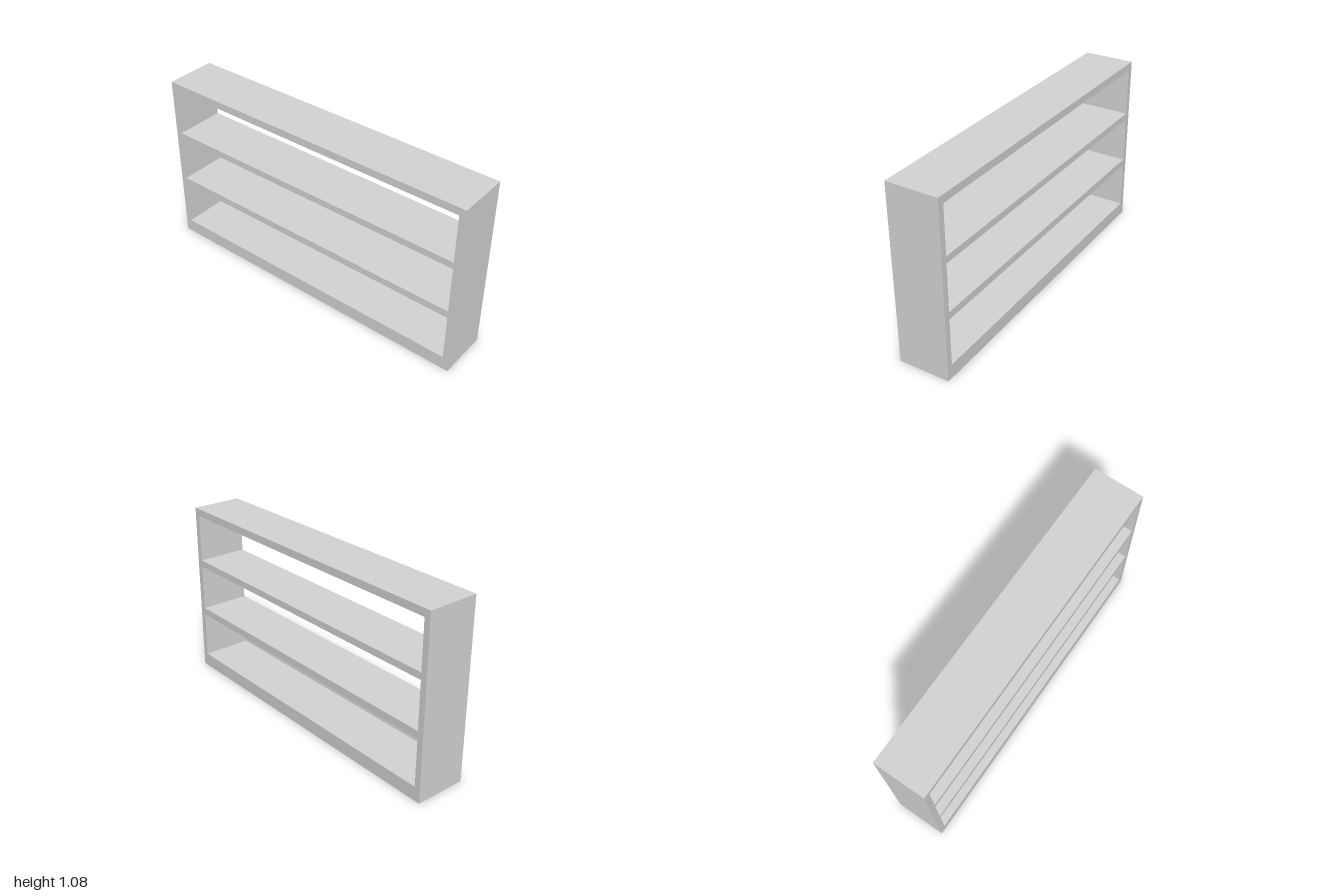
import * as THREE from 'three';

const WIDTH = 2, HEIGHT = 1.077, DEPTH = 0.31;
const INNER = 0.963; // half width between the side panels
// bottom and top of each open bay
const BAYS = [[0.084, 0.371], [0.415, 0.701], [0.742, 1.032]];

// Traces a rectangle centred on x = 0
function rectangle(path, halfWidth, bottom, top) {
  path.moveTo(-halfWidth, bottom);
  path.lineTo(halfWidth, bottom);
  path.lineTo(halfWidth, top);
  path.lineTo(-halfWidth, top);
  path.closePath();
  return path;
}

export function createModel() {
  const group = new THREE.Group();
  group.name = 'shelfUnit';

  const lightGrey = new THREE.MeshStandardMaterial({ color: 0xd4d4d4 });
  lightGrey.name = 'lightGrey';

  // Outer frame and shelves in one piece, with the bays cut through
  const outline = rectangle(new THREE.Shape(), WIDTH / 2, 0, HEIGHT);
  for (const [bottom, top] of BAYS) {
    outline.holes.push(rectangle(new THREE.Path(), INNER, bottom, top));
  }
  const geometry = new THREE.ExtrudeGeometry(outline, { depth: DEPTH, bevelEnabled: false });
  geometry.translate(0, 0, -DEPTH / 2);

  const frame = new THREE.Mesh(geometry, lightGrey);
  frame.name = 'frameWithShelves';
  group.add(frame);
  return group;
}
